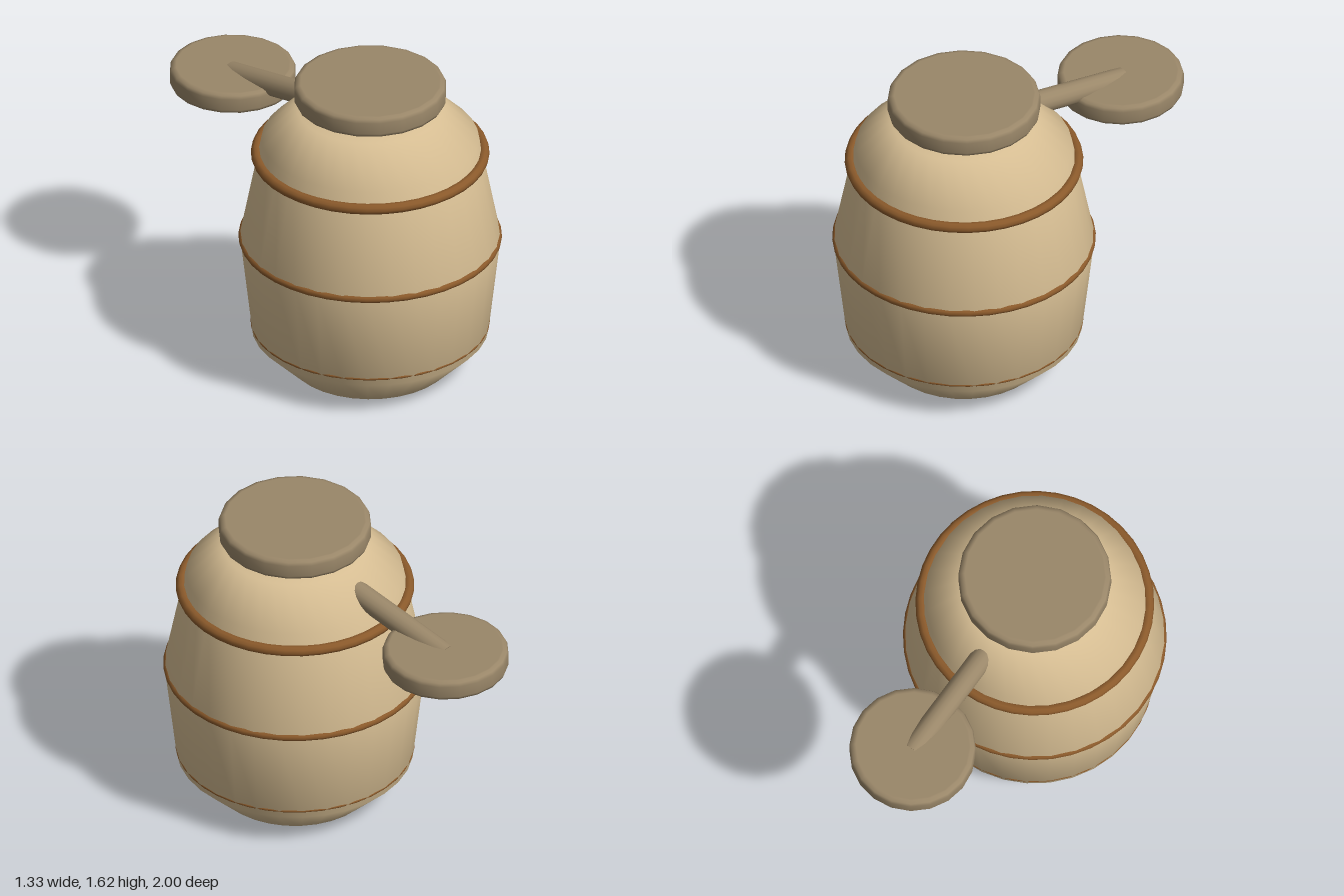
import * as THREE from 'three';

const AXIS_Z = 0.33; // centre line of the barrel

function material(name, color) {
  const m = new THREE.MeshStandardMaterial({ color });
  m.name = name;
  return m;
}

// Solid of revolution from [radius, height] pairs, listed bottom to top
function lathe(profile, segments) {
  return new THREE.LatheGeometry(profile.map(([r, y]) => new THREE.Vector2(r, y)), segments);
}

// Flat disc with rounded rims
function discGeometry(radius, height, segments = 20) {
  const b = 0.025, k = b * 0.3;
  return lathe([
    [0, 0], [radius - b - 0.008, 0], [radius - b, 0], [radius - k, k], [radius, b],
    [radius, height - b], [radius - k, height - k], [radius - b, height],
    [radius - b - 0.008, height], [0, height],
  ], segments);
}

export function createModel() {
  const model = new THREE.Group();
  model.name = 'barrelJar';

  const paleWood = material('pale wood', 0xd8bf94);
  const greyWood = material('grey brown wood', 0x9a8769);
  const hoopBrown = material('hoop brown', 0x8b5a2b);

  function add(name, geometry, mat, x, y, z) {
    const mesh = new THREE.Mesh(geometry, mat);
    mesh.name = name;
    mesh.position.set(x, y, z);
    model.add(mesh);
    return mesh;
  }

  // Barrel body with tapered foot and shoulder
  add('body', lathe([
    [0, 0], [0.41, 0], [0.6, 0.19], [0.66, 0.72], [0.55, 1.29], [0.37, 1.47], [0, 1.47],
  ], 32), paleWood, 0, 0, AXIS_Z);

  // Hoops around the body: height, ring radius, tube radius
  [
    ['lowerHoop', 0.228, 0.597, 0.009],
    ['middleHoop', 0.722, 0.646, 0.021],
    ['upperHoop', 1.207, 0.576, 0.028],
  ].forEach(([name, y, radius, tube]) => {
    const ring = new THREE.TorusGeometry(radius, tube, 10, 40).rotateX(Math.PI / 2);
    add(name, ring, hoopBrown, 0, y, AXIS_Z);
  });

  // Lid hovering over the mouth
  add('lid', discGeometry(0.387, 0.112), greyWood, 0, 1.508, AXIS_Z);

  // Dipper: paddle disc behind the barrel and its sloping handle
  add('dipperPaddle', discGeometry(0.32, 0.112), greyWood, 0, 1.184, -0.68);

  const start = new THREE.Vector3(0, 1.421, 0.232);
  const end = new THREE.Vector3(0, 1.243, -0.685);
  const along = end.clone().sub(start);
  const handle = add('dipperHandle',
    new THREE.CylinderGeometry(0.06, 0.06, along.length(), 16), greyWood, 0, 0, 0);
  handle.position.copy(start).add(end).multiplyScalar(0.5);
  handle.quaternion.setFromUnitVectors(new THREE.Vector3(0, 1, 0), along.normalize());

  return model;
}
